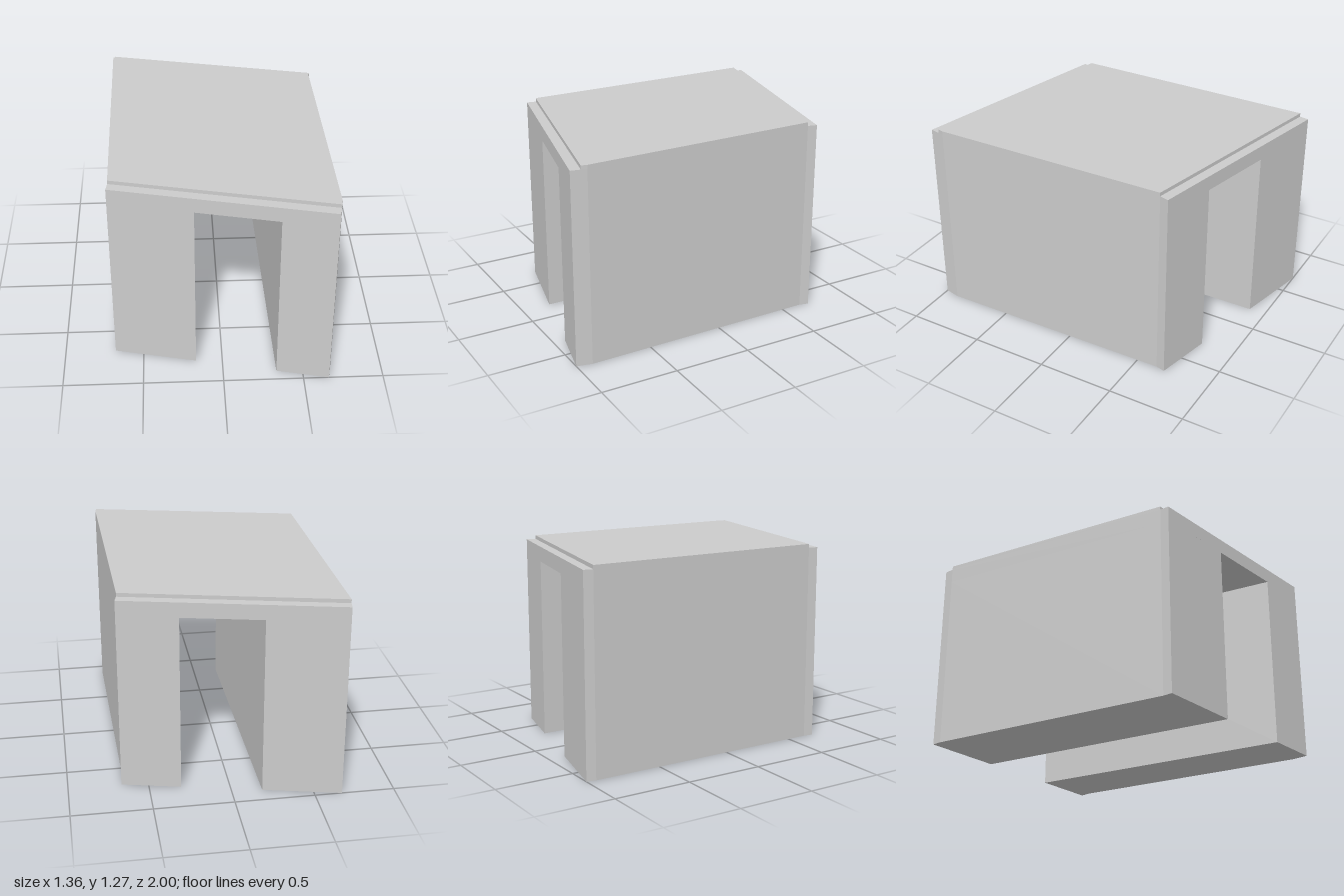
import * as THREE from 'three';

const LINTEL = 1.15, LEDGE = 1.246, TOP = 1.27;

// slanted front and back wall lines in plan
const frontZ = (x) => 0.69 + (x + 0.68) * 0.231;
const backZ = (x) => -1 + (x + 0.67) * 0.2275;

export function createModel() {
  const group = new THREE.Group();
  const material = new THREE.MeshStandardMaterial({ color: 0xcccccc, flatShading: true });

  // prism standing on a plan outline of [x, z] points, from y0 to y1
  const prism = (name, plan, y0, y1) => {
    const shape = new THREE.Shape(plan.map(([x, z]) => new THREE.Vector2(x, -z)));
    const geometry = new THREE.ExtrudeGeometry(shape, { depth: y1 - y0, bevelEnabled: false });
    geometry.rotateX(-Math.PI / 2).translate(0, y0, 0);
    const mesh = new THREE.Mesh(geometry, material);
    mesh.name = name;
    group.add(mesh);
  };

  // outer side walls with their angled end pieces, in plan
  const leftSide = [[0.66, 1], [0.68, 0.9], [0.654, -0.637], [0.668, -0.696]];
  const rightSide = [[-0.67, -1], [-0.68, -0.94], [-0.67, 0.63], [-0.68, 0.69]];

  // passage edges, slightly skewed from front to back
  const leftEdge = [[0.302, backZ(0.302)], [0.336, frontZ(0.336)]];
  const rightEdge = [[-0.167, frontZ(-0.167)], [-0.19, backZ(-0.19)]];

  prism('leftWall', [...leftSide, ...leftEdge], 0, LINTEL);
  prism('rightWall', [...rightSide, ...rightEdge], 0, LINTEL);
  prism('lintelSlab', [...leftSide, ...rightSide], LINTEL, LEDGE);

  // raised roof, set back from the front and back ledges
  prism('roof', [[0.672, 0.937], [0.68, 0.9], [0.654, -0.637], [-0.68, -0.94], [-0.67, 0.63]], LEDGE, TOP);

  return group;
}
